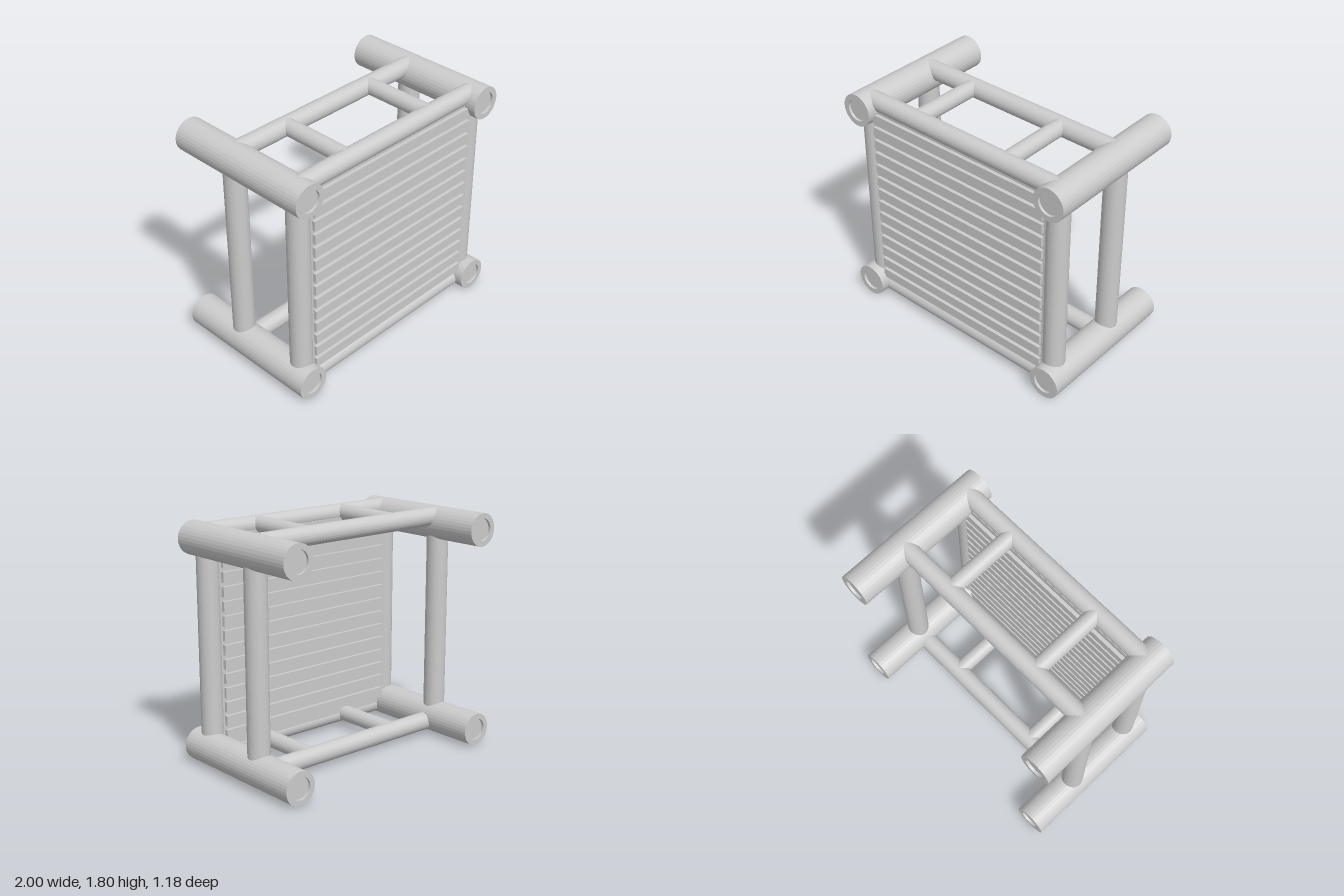
import * as THREE from 'three';

const SIDES = 32;
const material = new THREE.MeshStandardMaterial({ color: 0xcccccc, flatShading: true });

export function createModel() {
  const model = new THREE.Group();

  function add(name, geometry, x, y, z) {
    const mesh = new THREE.Mesh(geometry, material);
    mesh.name = name;
    mesh.position.set(x, y, z);
    model.add(mesh);
    return mesh;
  }

  // Round bar running along one axis, centred on its own origin
  function bar(radius, length, axis) {
    const g = new THREE.CylinderGeometry(radius, radius, length, SIDES);
    if (axis === 'x') g.rotateZ(Math.PI / 2);
    if (axis === 'z') g.rotateX(Math.PI / 2);
    return g;
  }

  // Thick corner tubes with shallow recessed ends
  const half = 0.59, floor = 0.57;
  const profile = [
    [0, -floor], [0.083, -floor], [0.083, -half], [0.125, -half],
    [0.125, half], [0.083, half], [0.083, floor], [0, floor],
  ].map(([r, y]) => new THREE.Vector2(r, y));
  const tube = new THREE.LatheGeometry(profile, SIDES).rotateX(Math.PI / 2);

  const frontZ = 0.4475, backZ = -0.135;
  const post = bar(0.082, 1.55, 'y');
  for (const [side, s] of [['left', 1], ['right', -1]]) {
    add(side + 'BottomTube', tube, s * 0.875, 0.125, 0);
    add(side + 'TopTube', tube, s * 0.875, 1.675, 0);
    add(side + 'FrontPost', post, s * 0.853, 0.9, frontZ);
    add(side + 'BackPost', post, s * 0.875, 0.9, backZ);
  }

  // Cross rails and the short bars joining them, top and bottom
  const rail = bar(0.07, 1.7, 'x');
  const spacer = bar(0.062, 0.59, 'z');
  for (const [level, y, lift] of [['bottom', 0.1, 0.01], ['top', 1.728, 0.006]]) {
    add(level + 'FrontRail', rail, 0, y, 0.46);
    add(level + 'BackRail', rail, 0, y, -0.133);
    for (const s of [1, -1]) add(level + 'Spacer', spacer, s * 0.405, y + lift, 0.163);
  }

  // Front panel: a core with slats standing proud on both faces
  add('panelCore', new THREE.BoxGeometry(1.6, 1.58, 0.115), 0, 0.915, frontZ);
  const slat = new THREE.BoxGeometry(1.56, 0.076, 0.168);
  for (let i = 0; i < 14; i++) add('panelSlat', slat, 0, 0.219 + i * 0.1076, frontZ);

  return model;
}
